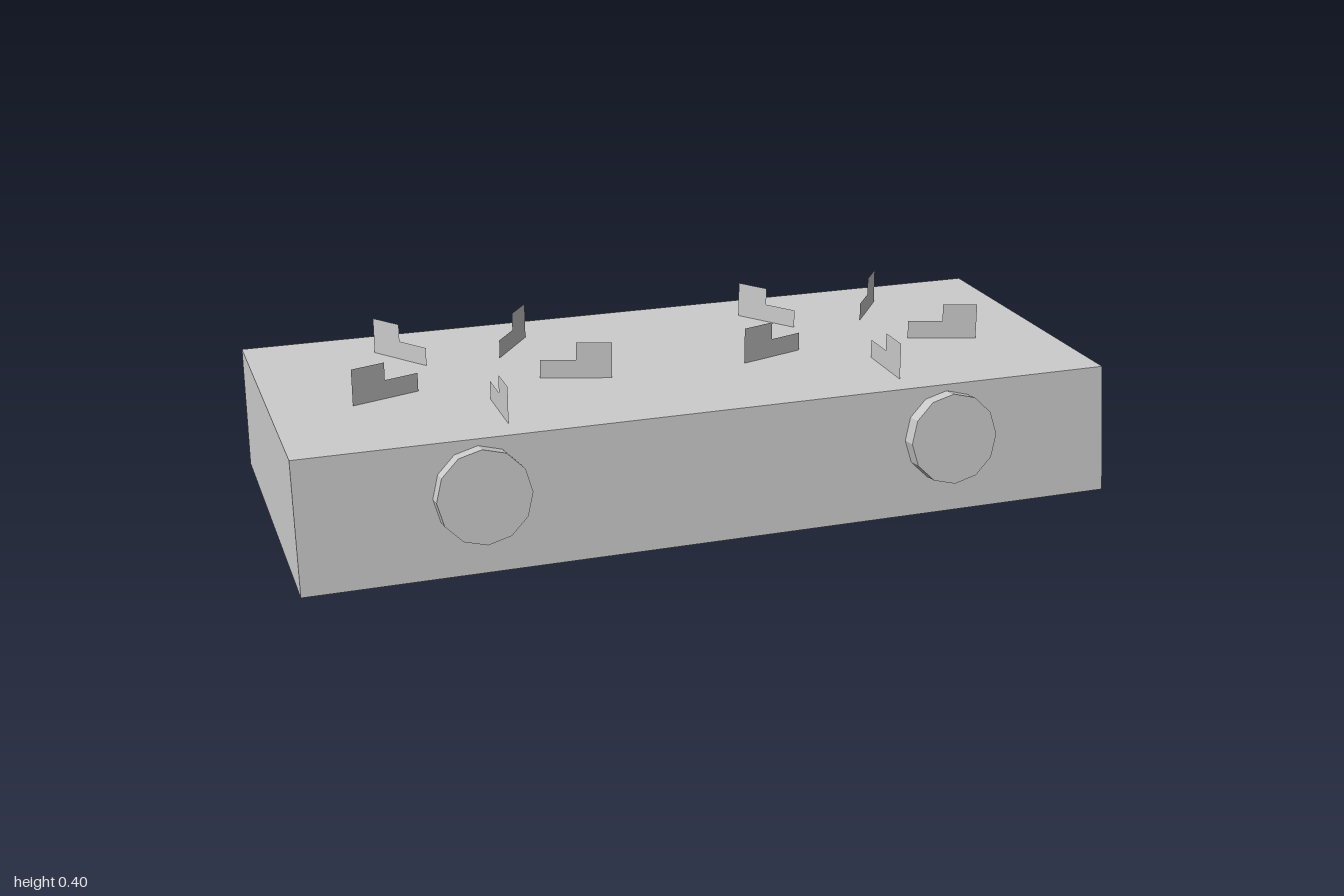
import * as THREE from 'three';

export function createModel() {
  const model = new THREE.Group();
  model.name = 'cooktop';
  const grey = new THREE.MeshStandardMaterial({ color: 0xcccccc, flatShading: true, side: THREE.DoubleSide });
  grey.name = 'light grey';

  const polygon = (points) => new THREE.Shape(points.map(([x, y]) => new THREE.Vector2(x, y)));
  const add = (name, geometry, parent = model) => {
    const mesh = new THREE.Mesh(geometry, grey);
    mesh.name = name;
    parent.add(mesh);
    return mesh;
  };

  // Body: side profile (z, y) with a leaning front, swept along x
  const top = 0.311;
  const profile = polygon([[-0.437, 0], [0.409, 0], [0.366, top], [-0.437, top]]);
  const body = new THREE.ExtrudeGeometry(profile, { depth: 2, bevelEnabled: false });
  body.translate(0, 0, -1).rotateY(-Math.PI / 2);
  add('body', body);

  // Burner grates: five stepped upright plates around each centre
  const prong = new THREE.ShapeGeometry(polygon([
    [0.158, 0], [0.333, 0], [0.333, 0.09], [0.246, 0.09], [0.246, 0.046], [0.158, 0.046],
  ]));
  for (const [side, x] of [['right', -0.49], ['left', 0.486]]) {
    const grate = new THREE.Group();
    grate.name = side + 'Grate';
    grate.position.set(x, top, -0.037);
    for (let i = 0; i < 5; i++) {
      add('grateProng', prong, grate).rotation.y = -THREE.MathUtils.degToRad(18 + 72 * i);
    }
    model.add(grate);
  }

  // Control knobs, square to the leaning front
  const knob = new THREE.CylinderGeometry(0.111, 0.111, 0.042, 12);
  knob.rotateX(Math.PI / 2 - 0.133);
  for (const [side, x] of [['right', -0.579], ['left', 0.577]]) {
    add(side + 'Knob', knob).position.set(x, 0.188, 0.403);
  }

  return model;
}
